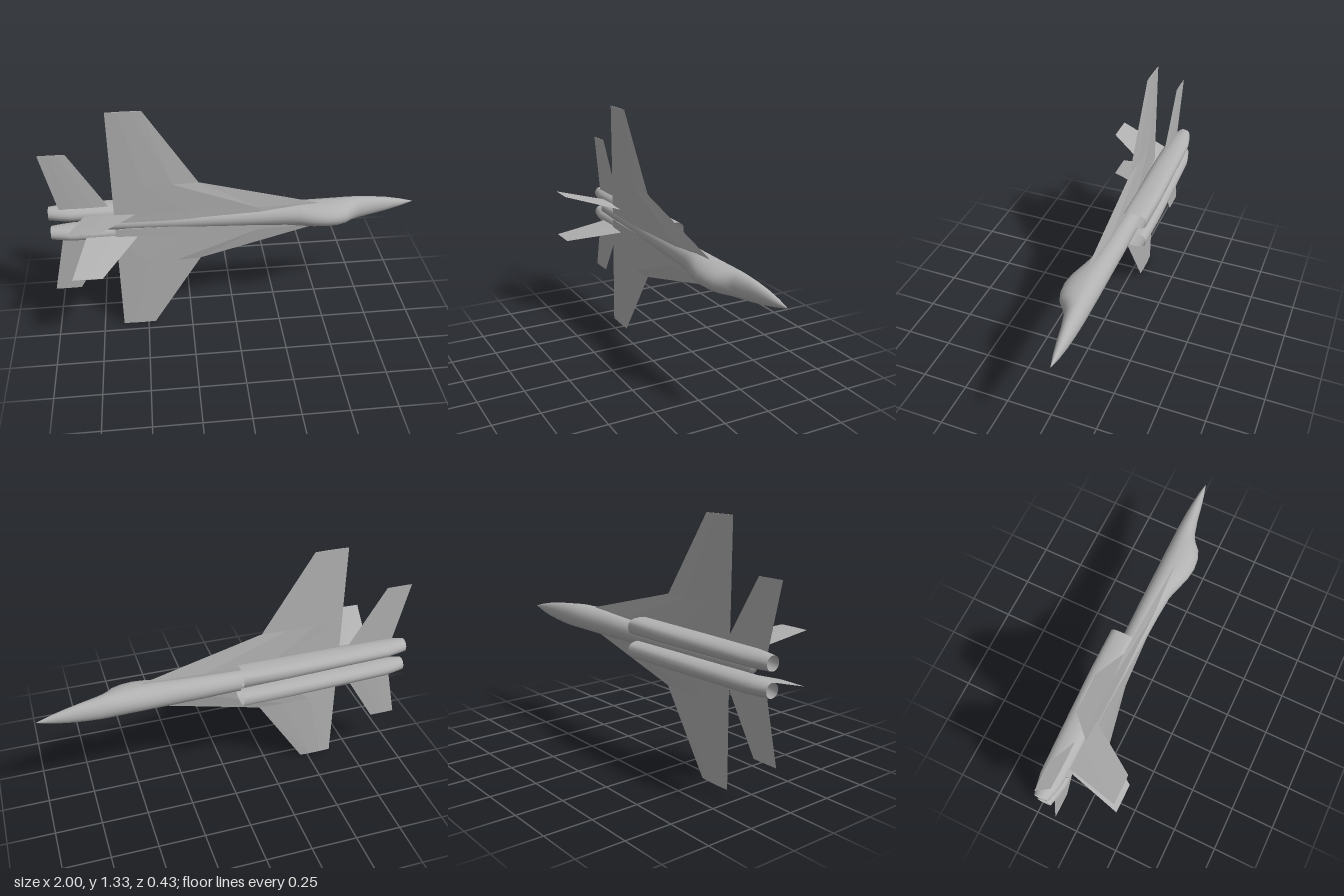
import * as THREE from 'three';

const MID = 0.664; // height of the aircraft's centreline (wings spread along y)

// Skins a list of closed rings of [x, y, z] points
function loft(rings, { caps = true, flat = false } = {}) {
  const n = rings[0].length;
  const index = [];
  for (let r = 0; r < rings.length - 1; r++) {
    for (let i = 0; i < n; i++) {
      const j = (i + 1) % n, a = r * n, b = a + n;
      index.push(a + i, b + i, a + j, a + j, b + i, b + j);
    }
  }
  if (caps) {
    const e = (rings.length - 1) * n;
    for (let i = 1; i < n - 1; i++) {
      index.push(0, i, i + 1);
      index.push(e, e + i + 1, e + i);
    }
  }
  let geo = new THREE.BufferGeometry();
  geo.setAttribute('position', new THREE.Float32BufferAttribute(rings.flat(2), 3));
  geo.setIndex(index);
  if (flat) geo = geo.toNonIndexed();
  geo.computeVertexNormals();
  return geo;
}

// Rounded cross-section; power below 1 makes it boxier
function ring(x, yc, halfWidth, zTop, zMid, zBottom, power = 1, sides = 20) {
  const round = (v) => Math.sign(v) * Math.pow(Math.abs(v), power);
  return Array.from({ length: sides }, (_, i) => {
    const a = (i / sides) * Math.PI * 2;
    const s = round(Math.sin(a));
    return [x, yc + halfWidth * round(Math.cos(a)), zMid + s * (s > 0 ? zTop - zMid : zMid - zBottom)];
  });
}

// Flat-lying aerofoil slice at span y
function slice(y, xLead, xTrail, zLead, zTop, zTrail, zBottom) {
  const at = (t) => xLead + (xTrail - xLead) * t;
  return [[xLead, y, zLead], [at(0.3), y, zTop], [at(0.65), y, zTop],
    [xTrail, y, zTrail], [at(0.65), y, zBottom], [at(0.3), y, zBottom]];
}

export function createModel() {
  const model = new THREE.Group();
  model.name = 'jetAircraft';
  const grey = new THREE.MeshStandardMaterial({ color: 0xb2b2b2, side: THREE.DoubleSide });
  grey.name = 'airframe grey';

  const add = (parent, name, geo) => {
    const mesh = new THREE.Mesh(geo, grey);
    mesh.name = name;
    parent.add(mesh);
  };

  const airframe = new THREE.Group();
  airframe.name = 'airframe';
  airframe.position.y = MID;
  model.add(airframe);

  // Fuselage with the canopy hump: x, half width, top, middle, bottom
  const hull = [
    [1.0, 0.001, -0.139, -0.14, -0.141],
    [0.93, 0.021, -0.119, -0.137, -0.152],
    [0.85, 0.039, -0.101, -0.131, -0.159],
    [0.77, 0.052, -0.086, -0.122, -0.163],
    [0.68, 0.062, -0.062, -0.113, -0.165],
    [0.64, 0.065, -0.04, -0.108, -0.165],
    [0.6, 0.067, -0.004, -0.1, -0.165],
    [0.55, 0.068, 0.015, -0.093, -0.165],
    [0.49, 0.068, 0.022, -0.09, -0.165],
    [0.42, 0.067, 0.014, -0.09, -0.164],
    [0.35, 0.066, -0.008, -0.092, -0.163],
    [0.28, 0.064, -0.028, -0.096, -0.162],
    [0.15, 0.06, -0.036, -0.098, -0.161],
    [-0.05, 0.054, -0.042, -0.098, -0.157],
    [-0.45, 0.042, -0.056, -0.097, -0.14],
    [-0.83, 0.026, -0.068, -0.095, -0.118],
  ];
  add(airframe, 'fuselage', loft(hull.map(([x, w, t, m, b]) => ring(x, 0, w, t, m, b))));

  // Everything else is paired about the centreline
  for (const side of [1, -1]) {
    const half = new THREE.Group();
    half.name = side > 0 ? 'upperSide' : 'lowerSide';
    half.scale.y = side;
    airframe.add(half);

    // Main wing with the long root extension
    add(half, 'wing', loft([
      slice(0.02, 0.5, -0.64, -0.072, -0.056, -0.061, -0.086),
      slice(0.07, 0.45, -0.64, -0.072, -0.056, -0.061, -0.085),
      slice(0.24, -0.19, -0.64, -0.066, -0.055, -0.06, -0.071),
      slice(0.664, -0.46, -0.64, -0.058, -0.056, -0.058, -0.061),
    ], { flat: true }));

    // Open engine duct: boxy intake blending into a round nozzle
    const duct = [
      [-0.05, 0.061, 0.044, -0.078, -0.14, -0.215, 0.72],
      [-0.3, 0.061, 0.044, -0.074, -0.14, -0.215, 0.78],
      [-0.6, 0.061, 0.043, -0.068, -0.135, -0.206, 0.9],
      [-0.87, 0.061, 0.043, -0.069, -0.133, -0.196, 1],
      [-0.93, 0.061, 0.04, -0.08, -0.133, -0.184, 1],
      [-0.985, 0.061, 0.036, -0.095, -0.133, -0.17, 1],
    ];
    add(half, 'engineDuct', loft(duct.map((d) => ring(...d)), { caps: false }));

    // Horizontal tailplane
    add(half, 'tailplane', loft([
      slice(0.085, -0.66, -0.925, -0.106, -0.103, -0.106, -0.109),
      slice(0.42, -0.86, -1.0, -0.106, -0.105, -0.106, -0.107),
    ], { flat: true }));

    // Outward-canted tail fin
    const finSlice = (z, y, xLead, xTrail, t) => {
      const mid = (xLead + xTrail) / 2;
      return [[xLead, y, z], [mid, y - t, z], [xTrail, y, z], [mid, y + t, z]];
    };
    add(half, 'tailFin', loft([
      finSlice(-0.08, 0.065, -0.51, -0.795, 0.003),
      finSlice(0.211, 0.136, -0.71, -0.865, 0.001),
    ], { flat: true }));
  }
  return model;
}
